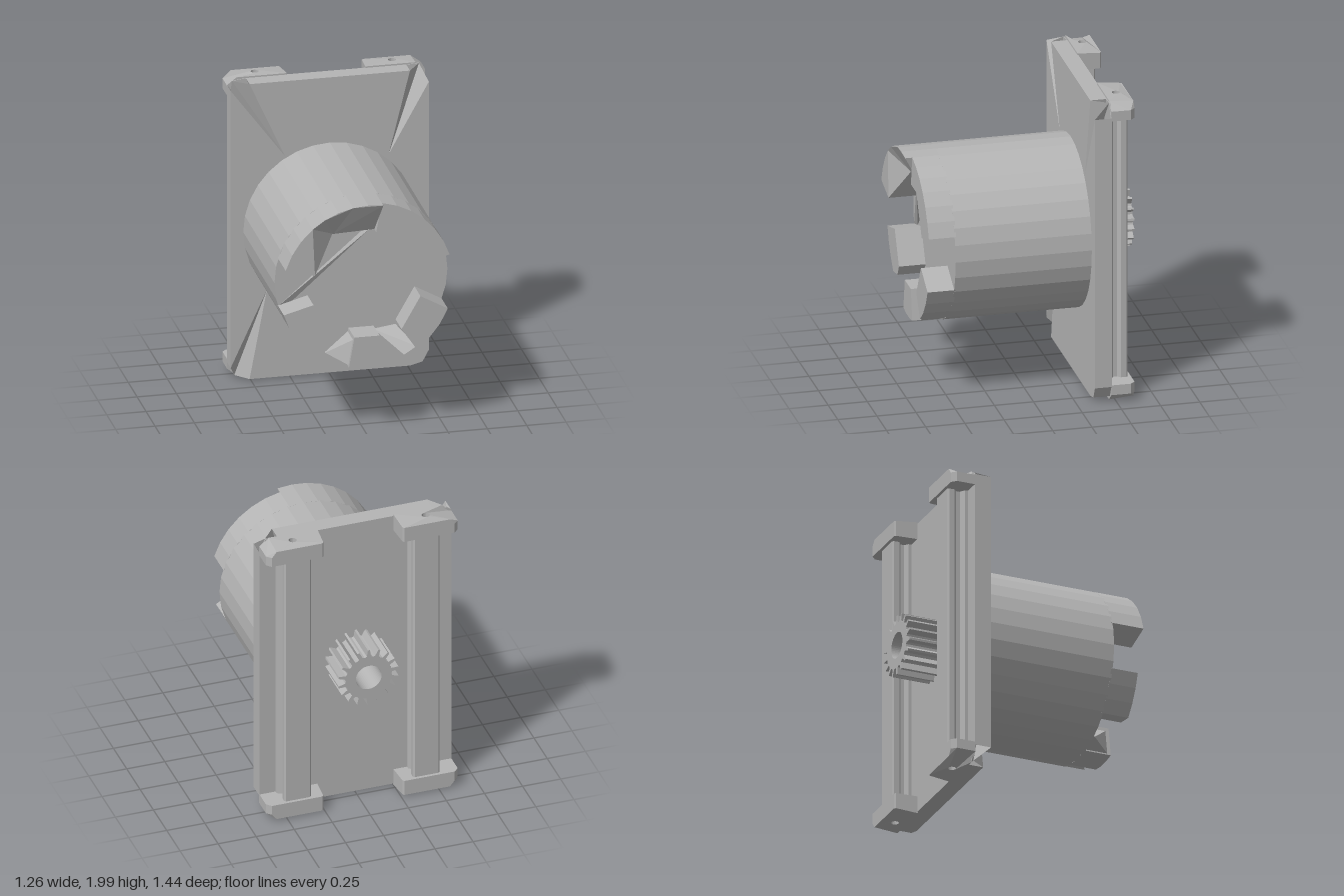
import * as THREE from 'three';

const grey = new THREE.MeshStandardMaterial({ color: 0xb4b4b4, flatShading: true, side: THREE.DoubleSide });
grey.name = 'plain grey';

const shapeOf = (pts) => new THREE.Shape(pts.map(([x, y]) => new THREE.Vector2(x, y)));

// Points on the housing rim, angles in degrees
function arc(a0, a1, n, r = 0.55) {
  return Array.from({ length: n + 1 }, (_, i) => {
    const a = THREE.MathUtils.degToRad(a0 + ((a1 - a0) * i) / n);
    return [r * Math.cos(a), 1 + r * Math.sin(a)];
  });
}

function extrude(shape, z0, z1) {
  const g = new THREE.ExtrudeGeometry(shape, { depth: z1 - z0, bevelEnabled: false, curveSegments: 24 });
  return g.translate(0, 0, z0);
}

// Prism on the housing face whose top height follows a rule
function prism(pts, top) {
  const z0 = 0.5;
  const g = extrude(shapeOf(pts), z0, 1);
  const p = g.attributes.position;
  for (let i = 0; i < p.count; i++) {
    if (p.getZ(i) > 0.9) p.setZ(i, top(p.getX(i), p.getY(i)));
  }
  g.computeVertexNormals();
  return g;
}

function triangles(tris) {
  const g = new THREE.BufferGeometry();
  g.setAttribute('position', new THREE.Float32BufferAttribute(tris.flat(2), 3));
  g.computeVertexNormals();
  return g;
}

export function createModel() {
  const model = new THREE.Group();
  const add = (name, geometry) => {
    const mesh = new THREE.Mesh(geometry, grey);
    mesh.name = name;
    model.add(mesh);
  };

  // Back plate, with three corners folded inward to a point
  const folds = [
    { a: [-0.63, 1.95], c: [-0.6, 1.975], b: [-0.51, 1.985], t: [-0.285, 1.485] },
    { a: [0.51, 1.985], c: [0.59, 1.99], b: [0.63, 1.9], t: [0.375, 1.44] },
    { a: [-0.51, 0.015], c: [-0.585, 0.01], b: [-0.63, 0.1], t: [-0.4, 0.6] },
  ];
  const [tl, tr, bl] = folds;
  add('mountingPlate', extrude(shapeOf([
    bl.a, [0.51, 0.015], [0.59, 0.035], [0.63, 0.11],
    tr.b, tr.t, tr.a, tl.b, tl.t, tl.a, bl.b, bl.t,
  ]), -0.46, -0.36));
  add('plateBacking', extrude(shapeOf([
    bl.a, [0.51, 0.015], [0.59, 0.035], [0.63, 0.11],
    tr.b, tr.c, tr.a, tl.b, tl.c, tl.a, bl.b, bl.c,
  ]), -0.47, -0.46));
  for (const { a, b, c, t } of folds) {
    const [A, B, T, C] = [[...a, -0.36], [...b, -0.36], [...t, -0.36], [...c, -0.46]];
    add('cornerFold', triangles([[A, C, T], [C, B, T]]));
  }

  // Drilled end caps at the four corners
  for (const s of [-1, 1]) {
    for (const top of [false, true]) {
      const shape = shapeOf([
        [0.25, 0.465], [0.57, 0.465], [0.63, 0.465], [0.63, 0.59],
        [0.6, 0.62], [0.57, 0.62], [0.27, 0.62], [0.26, 0.61],
      ].map(([x, y]) => [s * x, y]));
      const hole = new THREE.Path();
      hole.absarc(s * 0.437, 0.54, 0.025, 0, Math.PI * 2, true);
      shape.holes.push(hole);
      const g = new THREE.ExtrudeGeometry(shape, { depth: 0.115, bevelEnabled: false, curveSegments: 8 });
      g.rotateX(-Math.PI / 2);
      g.translate(0, top ? 1.88 : 0.005, 0);
      const p = g.attributes.position;
      for (let i = 0; i < p.count; i++) {
        const y = p.getY(i);
        const outer = Math.abs(p.getX(i)) > 0.59;
        const edge = p.getZ(i) < -0.605;
        const drop = outer ? 0.05 : edge ? 0.012 : 0;
        if (top && y > 1.99) p.setY(i, y - drop);
        if (!top && y < 0.01) p.setY(i, y + drop);
      }
      g.computeVertexNormals();
      add('endCap', g);
    }
    // Vertical guide rail, grooved on both sides
    const rail = shapeOf([
      [0.34, 0.465], [0.34, 0.49], [0.365, 0.51], [0.365, 0.535], [0.335, 0.555], [0.335, 0.59], [0.345, 0.6],
      [0.5, 0.6], [0.51, 0.59], [0.51, 0.555], [0.49, 0.535], [0.49, 0.51], [0.525, 0.49], [0.525, 0.465],
    ].map(([x, y]) => [s * x, y]));
    const g = new THREE.ExtrudeGeometry(rail, { depth: 1.76, bevelEnabled: false });
    g.rotateX(-Math.PI / 2);
    add('guideRail', g.translate(0, 0.12, 0));
  }

  // Pinion with a round bore
  const teeth = 18;
  const gear = [];
  for (let i = 0; i < teeth; i++) {
    for (const [f, r] of [[0, 0.15], [0.28, 0.155], [0.42, 0.2], [0.62, 0.2], [0.76, 0.155]]) {
      const a = ((i + f) / teeth) * Math.PI * 2;
      gear.push([r * Math.cos(a), 1 + r * Math.sin(a)]);
    }
  }
  const gearShape = shapeOf(gear);
  const bore = new THREE.Path();
  bore.absarc(0, 1, 0.085, 0, Math.PI * 2, true);
  gearShape.holes.push(bore);
  add('pinion', extrude(gearShape, -0.72, -0.465));

  // Round housing
  add('housing', extrude(shapeOf(arc(0, 348.75, 31)), -0.37, 0.51));

  // Crown along the upper rim, in three sections
  add('crownRight', prism([...arc(17, 80, 6), [0.06, 1.35], [0.2, 1.35], [0.34, 1.1]], () => 0.675));
  add('crownMiddle', prism([...arc(80, 130, 5), [-0.2, 1.34], [0.06, 1.35]],
    (x, y) => (Math.hypot(x, y - 1) > 0.5 ? 0.72 : 0.62)));
  add('crownLeft', prism([...arc(130, 163, 3), [-0.34, 1.11], [-0.2, 1.34]],
    (x) => (x > -0.25 ? 0.6 : 0.72)));

  // Lugs along the lower rim
  const lugs = [
    [...arc(196, 226, 3), [-0.27, 0.62], [-0.23, 0.69], [-0.34, 0.9]],
    [...arc(258, 282, 3), [0.08, 0.66], [-0.08, 0.66]],
    [...arc(305, 339, 3), [0.34, 0.9], [0.22, 0.69]],
  ];
  for (const pts of lugs) add('lug', prism(pts, () => 0.68));

  // Sloping shards beside the lugs
  add('shardRight', prism([[0.08, 0.64], [0.24, 0.51], [0.32, 0.56], [0.22, 0.66]],
    (x, y) => (y < 0.6 ? 0.66 : 0.52)));
  add('shardLeft', prism([[-0.23, 0.51], [-0.11, 0.47], [-0.08, 0.64]],
    (x) => (x < -0.2 ? 0.52 : 0.66)));

  // Slanted fin across the housing face
  const P = [-0.53, 0.84, 0.51];
  const Q = [-0.44, 0.87, 0.51];
  const R = [0.06, 1.35, 0.51];
  const S = [0.03, 1.36, 0.63];
  add('fin', triangles([[P, Q, S], [Q, R, S], [P, S, R]]));

  return model;
}
